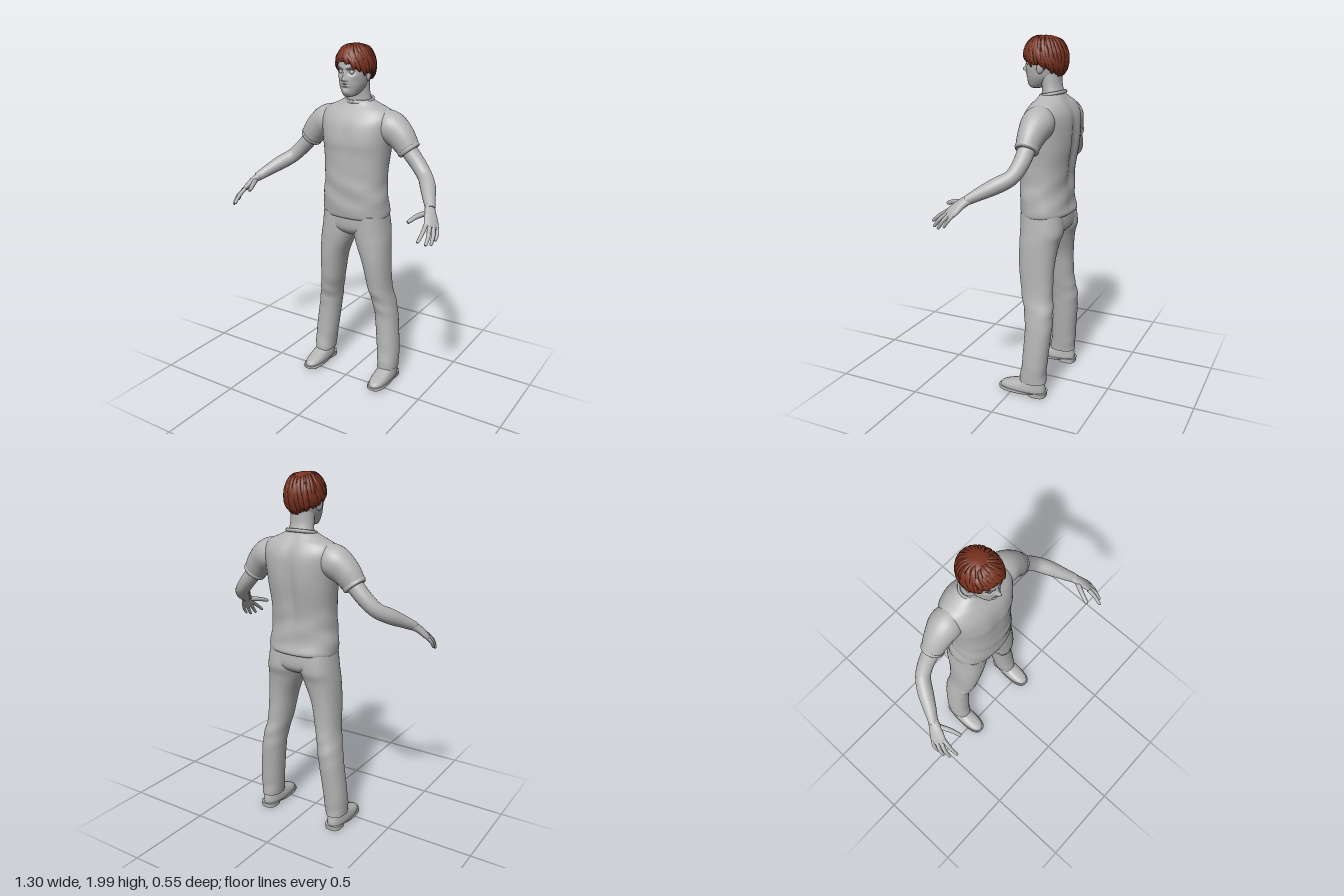
import * as THREE from 'three';

const V = (x, y, z) => new THREE.Vector3(x, y, z);
const { sin, cos, exp, abs, sign, pow, PI } = Math;
const bell = (v, c, w) => exp(-(((v - c) / w) ** 2));

// Smoothly subdivides a few key rows of numbers
function smooth(rows, sub) {
  const out = [], row = i => rows[Math.min(Math.max(i, 0), rows.length - 1)];
  for (let i = 0; i < rows.length - 1; i++) {
    for (let k = 0; k < sub; k++) {
      const t = k / sub, [a, b, c, d] = [row(i - 1), row(i), row(i + 1), row(i + 2)];
      out.push(b.map((_, q) => b[q] + 0.5 * t * (c[q] - a[q] +
        t * (2 * a[q] - 5 * b[q] + 4 * c[q] - d[q] + t * (3 * (b[q] - c[q]) + d[q] - a[q])))));
    }
  }
  out.push(rows[rows.length - 1]);
  return out;
}

// Skins closed rings of points and caps both ends
function skin(rings) {
  const pos = [], idx = [], n = rings[0].length, m = rings.length;
  rings.forEach(r => r.forEach(p => pos.push(p.x, p.y, p.z)));
  for (let i = 0; i < m - 1; i++) for (let j = 0; j < n; j++) {
    const a = i * n + j, b = i * n + (j + 1) % n;
    idx.push(a, b, a + n, b, b + n, a + n);
  }
  [rings[0], rings[m - 1]].forEach((r, end) => {
    const base = pos.length / 3, c = r.reduce((s, p) => s.add(p), V(0, 0, 0)).divideScalar(n);
    [...r, c].forEach(p => pos.push(p.x, p.y, p.z));
    for (let j = 0; j < n; j++) {
      const k = base + (j + 1) % n;
      idx.push(base + n, end ? base + j : k, end ? k : base + j);
    }
  });
  const g = new THREE.BufferGeometry();
  g.setAttribute('position', new THREE.Float32BufferAttribute(pos, 3));
  g.setIndex(idx);
  g.computeVertexNormals();
  return g;
}

// Horizontal slices, bottom to top: [y, centreX, halfWidth, frontZ, backZ]
function loft(rows, { n = 40, sub = 5, power = 2.3, shape } = {}) {
  return skin(smooth(rows, sub).map(([y, cx, rx, zf, zb]) => Array.from({ length: n }, (_, j) => {
    const a = j / n * 2 * PI, e = 2 / power, f = v => sign(v) * pow(abs(v), e);
    const p = V(cx + rx * f(sin(a)), y, (zf + zb) / 2 + (zf - zb) / 2 * f(cos(a)));
    if (shape) shape(p, cos(a));
    return p;
  })));
}

// Tube along a path: [x, y, z, radius across, radius along ref]
function sweep(rows, ref, { n = 16, sub = 5 } = {}) {
  const pts = smooth(rows, sub), at = i => V(...pts[Math.min(Math.max(i, 0), pts.length - 1)].slice(0, 3));
  return skin(pts.map((r, i) => {
    const p = at(i), T = at(i + 1).sub(at(i - 1)).normalize();
    const N = (typeof ref === 'function' ? ref(p) : ref.clone());
    N.addScaledVector(T, -N.dot(T)).normalize();
    const B = T.clone().cross(N);
    return Array.from({ length: n }, (_, j) => {
      const a = j / n * 2 * PI;
      return p.clone().addScaledVector(N, cos(a) * r[4]).addScaledVector(B, sin(a) * r[3]);
    });
  }));
}

export function createModel() {
  const model = new THREE.Group();
  const grey = new THREE.MeshStandardMaterial({ color: 0xb4b4b4 });
  grey.name = 'plain grey';
  const auburn = new THREE.MeshStandardMaterial({ color: 0x78321f });
  auburn.name = 'auburn hair';
  const add = (name, geo, mat = grey, parent = model) => {
    const m = new THREE.Mesh(geo, mat);
    m.name = name;
    parent.add(m);
    return m;
  };

  // Shirt body with shoulder blades, spine groove and soft folds
  add('shirt', loft([
    [1.03, 0, 0.19, 0.012, -0.232], [1.045, 0, 0.2, 0.02, -0.26], [1.1, 0, 0.2, 0.025, -0.25],
    [1.2, 0, 0.188, 0.027, -0.245], [1.3, 0, 0.187, 0.024, -0.252], [1.4, 0, 0.196, 0.022, -0.268],
    [1.47, 0, 0.204, 0.025, -0.274], [1.55, 0, 0.215, 0.01, -0.272], [1.6, 0, 0.216, -0.012, -0.26],
    [1.64, 0, 0.19, -0.042, -0.238], [1.665, 0, 0.135, -0.062, -0.218], [1.69, 0, 0.083, -0.075, -0.2],
  ], { n: 64, shape: (p, f) => {
    const back = Math.max(-f, 0), front = Math.max(f, 0);
    p.z += back * bell(p.x, 0, 0.035) * 0.022 * bell(p.y, 1.42, 0.22);
    p.z += front * bell(p.x, 0, 0.03) * -0.006 * bell(p.y, 1.48, 0.09);
    p.z += 0.004 * sin(p.y * 42 + p.x * 16) * bell(p.y, 1.17, 0.11);
    p.x += 0.003 * sin(p.y * 50 + f * 3) * bell(p.y, 1.15, 0.1);
  } }));
  // Collar band
  const collar = Array.from({ length: 33 }, (_, i) => {
    const a = i / 32 * 2 * PI;
    return [0.083 * sin(a), 1.69 - 0.013 * cos(a), -0.137 + 0.066 * cos(a), 0.007, 0.01];
  });
  add('collar', sweep(collar, V(0, 1, 0), { n: 8, sub: 1 }));

  // Hips
  add('hips', loft([[0.915, 0, 0.05, -0.05, -0.19], [0.94, 0, 0.13, -0.015, -0.23],
    [0.98, 0, 0.19, 0.002, -0.247], [1.06, 0, 0.19, 0.004, -0.24]], { power: 2.4 }));

  for (const s of [1, -1]) {
    const side = s > 0 ? 'left' : 'right';
    const P = rows => rows.map(([x, ...r]) => [x * s, ...r]);

    // Trouser leg
    add(side + 'TrouserLeg', loft([
      [0.083, 0.227, 0.058, -0.045, -0.2], [0.2, 0.221, 0.065, -0.06, -0.205], [0.4, 0.2, 0.066, -0.068, -0.222],
      [0.5, 0.185, 0.064, -0.055, -0.222], [0.6, 0.164, 0.065, -0.03, -0.21], [0.755, 0.145, 0.077, -0.008, -0.21],
      [0.88, 0.118, 0.098, -0.001, -0.225], [0.95, 0.106, 0.102, 0, -0.245], [1.05, 0.1, 0.095, 0, -0.235],
    ].map(r => [r[0], r[1] * s, ...r.slice(2)]), { power: 2.2, shape: (p, f) => {
      p.z += 0.003 * sin(p.y * 60 + p.x * 25) * (bell(p.y, 0.5, 0.12) + bell(p.y, 0.13, 0.08));
    } }));

    // Shoe: sole, heel and upper
    const cx = 0.23 * s;
    add(side + 'Sole', loft([[0.008, cx, 0.05, 0.075, -0.13], [0.013, cx, 0.057, 0.084, -0.14],
      [0.028, cx, 0.057, 0.084, -0.2]], { power: 2.6, sub: 3 }));
    add(side + 'Heel', loft([[0, cx, 0.046, -0.1, -0.205], [0.028, cx, 0.048, -0.09, -0.208]], { power: 3, sub: 1 }));
    add(side + 'ShoeUpper', loft([[0.024, cx, 0.053, 0.078, -0.2], [0.045, cx, 0.053, 0.068, -0.2],
      [0.062, cx, 0.05, 0.03, -0.197], [0.08, cx, 0.046, -0.025, -0.193], [0.1, cx, 0.042, -0.06, -0.19],
      [0.14, cx, 0.038, -0.07, -0.18]], { power: 2.4 }));

    // Sleeve and its cuff
    add(side + 'Sleeve', sweep(P([[0.12, 1.58, -0.14, 0.06, 0.07], [0.2, 1.555, -0.14, 0.088, 0.088],
      [0.27, 1.505, -0.135, 0.074, 0.079], [0.325, 1.437, -0.13, 0.058, 0.063]]), V(s, 1, 0), { n: 28, sub: 7 }));
    add(side + 'SleeveCuff', sweep(P([[0.314, 1.451, -0.131, 0.06, 0.064], [0.318, 1.446, -0.131, 0.063, 0.067],
      [0.325, 1.437, -0.13, 0.062, 0.066], [0.329, 1.432, -0.13, 0.054, 0.058]]), V(s, 1, 0), { n: 28, sub: 2 }));

    // Bare arm
    add(side + 'Arm', sweep(P([[0.29, 1.48, -0.133, 0.044, 0.045], [0.33, 1.43, -0.13, 0.046, 0.045],
      [0.385, 1.37, -0.124, 0.043, 0.043], [0.44, 1.315, -0.1, 0.04, 0.041], [0.487, 1.278, -0.04, 0.042, 0.041],
      [0.53, 1.24, 0.03, 0.034, 0.033], [0.567, 1.206, 0.088, 0.023, 0.026]]), V(s, 1, 0), { n: 24 }));

    // Hand: palm, four fingers and thumb
    const across = V(0.04 * s, -0.015, -0.06);
    const hand = new THREE.Group();
    hand.name = side + 'Hand';
    model.add(hand);
    add('palm', sweep(P([[0.555, 1.217, 0.07, 0.022, 0.026], [0.578, 1.19, 0.11, 0.02, 0.034],
      [0.602, 1.155, 0.146, 0.016, 0.042], [0.613, 1.135, 0.168, 0.01, 0.036]]), across), grey, hand);
    const fingers = [
      [[0.588, 1.152, 0.178], [0.593, 1.122, 0.228], [0.59, 1.09, 0.268]],
      [[0.602, 1.147, 0.168], [0.62, 1.112, 0.21], [0.622, 1.073, 0.243]],
      [[0.615, 1.143, 0.152], [0.634, 1.108, 0.185], [0.637, 1.068, 0.212]],
      [[0.625, 1.14, 0.132], [0.641, 1.112, 0.152], [0.642, 1.08, 0.175]],
      [[0.565, 1.195, 0.105], [0.532, 1.185, 0.172], [0.513, 1.168, 0.224]],
    ];
    fingers.forEach(([a, b, c], i) => {
      const tip = c.map((v, q) => v + 0.1 * (c[q] - b[q])), r = i === 4 ? 0.013 : i === 3 ? 0.009 : 0.0105;
      add(i === 4 ? 'thumb' : 'finger' + (i + 1), sweep(P([[...a, r * 1.15, r * 1.15], [...b, r, r],
        [...c, r * 0.75, r * 0.75], [...tip, r * 0.25, r * 0.25]]), across, { n: 10, sub: 4 }), grey, hand);
    });

    // Ear
    const ear = add(side + 'Ear', new THREE.SphereGeometry(1, 16, 12));
    ear.scale.set(0.011, 0.034, 0.021);
    ear.position.set(0.084 * s, 1.83, -0.098);
    ear.rotation.set(-0.2, 0.35 * s, 0);

    // Eyeball and brow
    const eye = add(side + 'Eye', new THREE.SphereGeometry(0.0125, 16, 12));
    eye.position.set(0.033 * s, 1.849, -0.007);
    add(side + 'Brow', sweep(P([[0.013, 1.864, 0.015, 0.003, 0.003], [0.035, 1.871, 0.011, 0.004, 0.004],
      [0.058, 1.866, -0.008, 0.002, 0.002]]), V(0, 1, 0), { n: 8 }));
  }

  // Neck
  add('neck', loft([[1.65, 0, 0.085, -0.07, -0.21], [1.69, 0, 0.072, -0.08, -0.198], [1.74, 0, 0.066, -0.075, -0.185],
    [1.8, 0, 0.066, -0.06, -0.185]], { power: 2 }));

  // Head with the face modelled by bumps: [x, y, depth, width, height]
  const bumps = [[0, 1.813, 0.024, 0.011, 0.012], [0, 1.835, 0.013, 0.008, 0.022], [0.012, 1.808, 0.009, 0.007, 0.007],
    [0.034, 1.85, -0.014, 0.017, 0.013], [0.02, 1.872, 0.004, 0.02, 0.009], [0, 1.791, 0.007, 0.02, 0.005],
    [0, 1.777, 0.007, 0.017, 0.005], [0, 1.784, -0.003, 0.022, 0.003], [0, 1.765, -0.005, 0.02, 0.006],
    [0, 1.74, 0.006, 0.018, 0.014], [0.05, 1.825, 0.004, 0.016, 0.014]];
  add('head', loft([[1.716, 0, 0.02, -0.015, -0.06], [1.722, 0, 0.035, -0.005, -0.08], [1.74, 0, 0.05, 0.004, -0.12],
    [1.77, 0, 0.066, 0.011, -0.165], [1.8, 0, 0.074, 0.014, -0.19], [1.85, 0, 0.081, 0.013, -0.205],
    [1.9, 0, 0.083, 0.014, -0.205], [1.95, 0, 0.07, -0.006, -0.18], [1.975, 0, 0.045, -0.04, -0.14]],
  { n: 96, sub: 10, power: 2.1, shape: (p, f) => {
    if (f <= 0) return;
    const x = abs(p.x);
    let d = 0;
    for (const [bx, by, depth, w, h] of bumps) d += depth * bell(x, bx, w) * bell(p.y, by, h);
    p.z += d;
  } }));

  // Hair surface: angle around the head, 0..1 from crown to hairline, lift
  const hairline = a => 1.845 + 0.0575 * cos(a) - 0.022 * bell(abs(a), 1.2, 0.25)
    + 0.012 * bell(a, -0.35, 0.3) - 0.02 * bell(a, 0.65, 0.3);
  const wrap = a => Math.atan2(sin(a), cos(a));
  const hairAt = (a, t, lift) => {
    const th = t * Math.acos((hairline(wrap(a)) - 1.875) / 0.118), r = pow(sin(th), 0.8);
    return V(0.004 + (0.098 + lift) * r * sin(a), 1.875 + (0.118 + lift) * cos(th), -0.096 + (0.118 + lift) * r * cos(a));
  };
  const hair = new THREE.Group();
  hair.name = 'hair';
  model.add(hair);
  const cap = [];
  for (let i = 0; i <= 20; i++) {
    cap.push(Array.from({ length: 48 }, (_, j) => hairAt(j / 48 * 2 * PI, 1 - i / 20 * 0.98, 0)));
  }
  add('hairCap', skin(cap), auburn, hair);

  // Overlapping tapered locks
  let seed = 7;
  const rnd = () => (seed = (seed * 16807) % 2147483647) / 2147483647;
  const out = p => V(p.x, p.y - 1.86, p.z + 0.096);
  [[26, 0.08, 0.8], [30, 0.3, 1], [34, 0.55, 1.04]].forEach(([count, t0, t1], layer) => {
    for (let k = 0; k < count; k++) {
      const a0 = (k + rnd() * 0.7) / count * 2 * PI, drift = 0.12 + 0.3 * rnd() * (1 + cos(a0));
      const start = t0 + rnd() * 0.12, end = t1 + (rnd() - 0.5) * 0.1, w = 0.011 + rnd() * 0.005;
      const rows = [0, 0.3, 0.65, 0.9, 1].map((u, i) => {
        const p = hairAt(a0 + drift * (u - 0.5), start + (end - start) * u, [-0.003, 0.003, 0.004, 0.002, 0][i]);
        const k2 = [0.35, 0.9, 1, 0.6, 0.1][i] * (layer ? 1 : 0.8);
        return [p.x, p.y, p.z, w * k2, 0.0065 * k2];
      });
      add('hairLock', sweep(rows, out, { n: 8, sub: 4 }), auburn, hair);
    }
  });

  return model;
}
